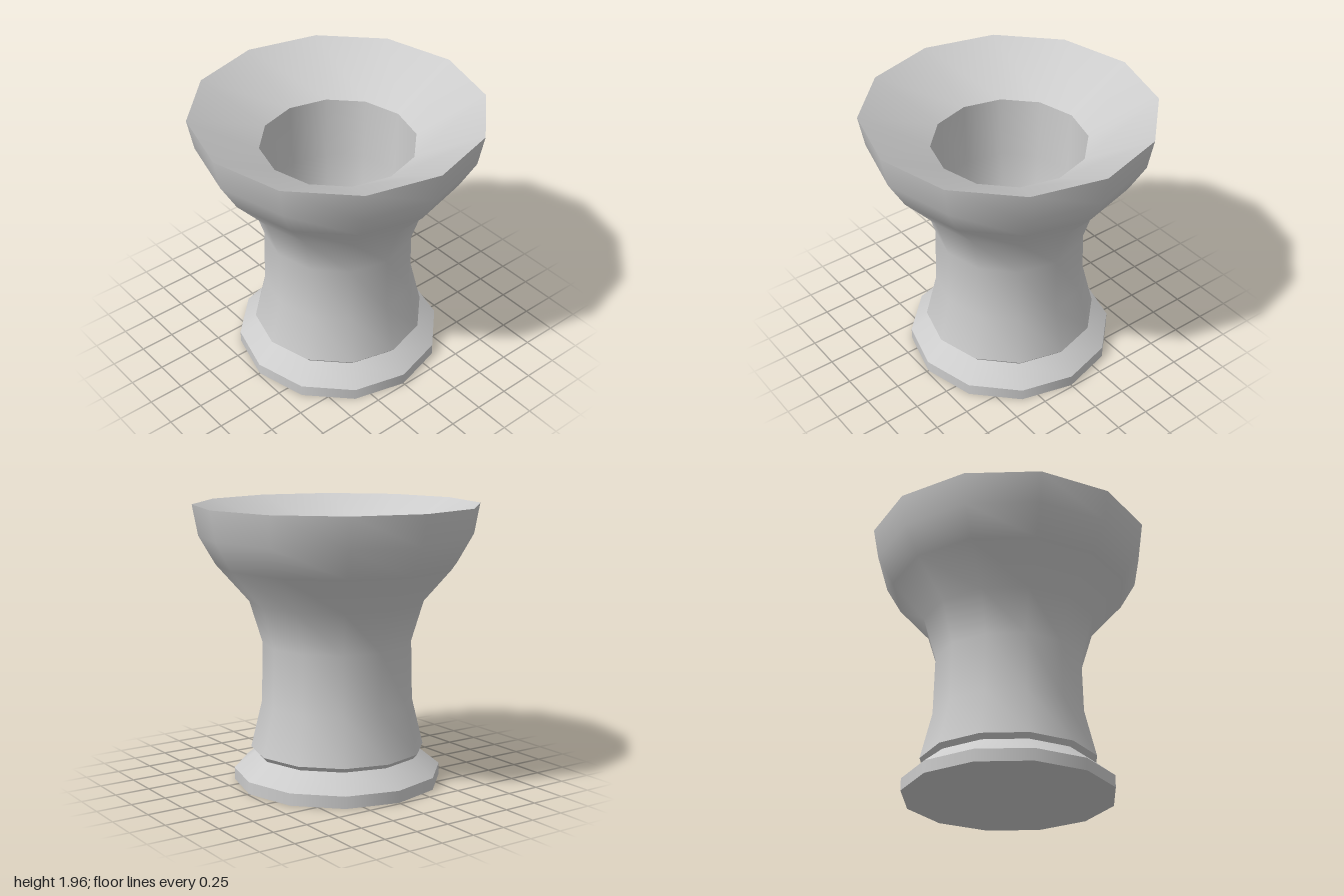
import * as THREE from 'three';

const SIDES = 12;

export function createModel() {
  const group = new THREE.Group();
  const material = new THREE.MeshStandardMaterial({ color: 0xcccccc });

  // Each band is smooth in itself; the borders between bands stay sharp.
  // Outer bands run upwards, inner ones downwards, so all faces point outwards.
  const band = (name, profile) => {
    const points = profile.map(([r, y]) => new THREE.Vector2(r, y));
    const mesh = new THREE.Mesh(new THREE.LatheGeometry(points, SIDES), material);
    mesh.name = name;
    group.add(mesh);
  };

  // Foot
  band('footUnderside', [[0, 0], [0.735, 0]]);
  band('footEdge', [[0.735, 0], [0.735, 0.085]]);
  band('footBevel', [[0.735, 0.085], [0.585, 0.205]]);
  band('grooveLip', [[0.585, 0.205], [0.615, 0.238]]);

  // Waisted body flaring into the bowl
  band('body', [
    [0.615, 0.238], [0.535, 0.57], [0.525, 0.99], [0.615, 1.285],
    [0.845, 1.545], [0.96, 1.745], [1, 1.96],
  ]);

  // Sloping rim and the hollow inside
  band('rimSlope', [[1, 1.96], [0.535, 1.7]]);
  band('hollow', [[0.535, 1.7], [0.515, 1.25], [0.48, 0.85], [0.38, 0.64], [0.2, 0.54], [0, 0.52]]);

  return group;
}
